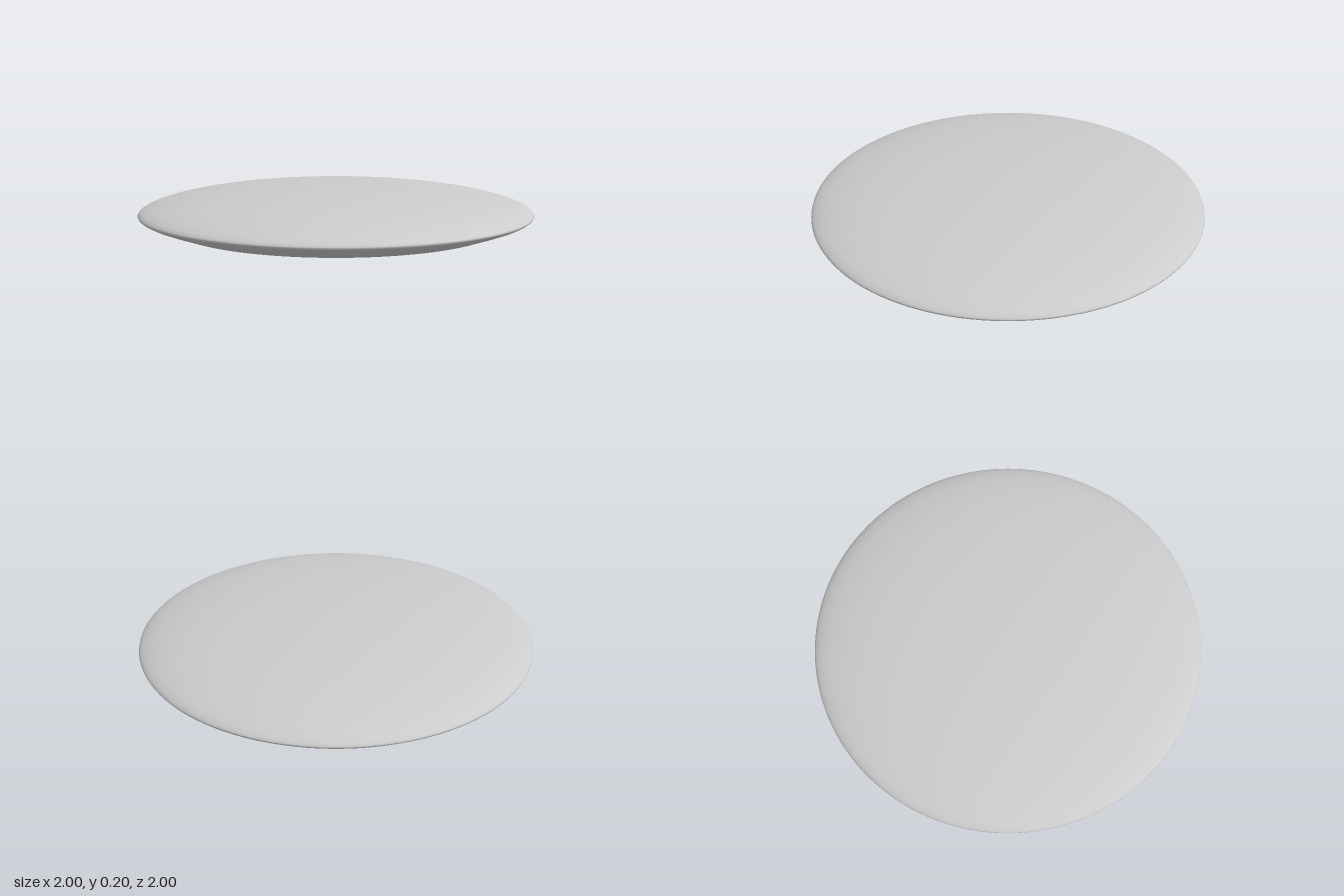
import * as THREE from 'three';

const material = new THREE.MeshStandardMaterial({ color: 0xcccccc, side: THREE.DoubleSide });
const RIM_Y = 0.075, RECESS_R = 0.83, SEGMENTS = 128;

function lathe(name, pairs) {
  const points = pairs.map(([r, y]) => new THREE.Vector2(r, y));
  const mesh = new THREE.Mesh(new THREE.LatheGeometry(points, SEGMENTS), material);
  mesh.name = name;
  return mesh;
}

// Flattened dome height above its base for a radius fraction 0..1
const dome = (t, height, power) => height * Math.pow(Math.max(0, 1 - t * t), power);

export function createModel() {
  const model = new THREE.Group();
  model.name = 'shallowDomedDisc';

  // Outer shell: bevelled underside, rounded rim and domed top in one smooth profile
  const outer = [[RECESS_R, 0], [0.88, 0.018], [0.93, 0.036], [0.965, 0.05], [0.988, 0.062], [0.997, 0.069]];
  for (let i = 0; i <= 32; i++) {
    const t = Math.cos((i / 32) * Math.PI / 2);
    outer.push([i === 32 ? 0 : t, RIM_Y + dome(t, 0.13, 0.58)]);
  }
  model.add(lathe('outerShell', outer));

  // Straight wall of the recess underneath
  const wallTop = 0.105;
  model.add(lathe('recessWall', [[RECESS_R, wallTop], [RECESS_R, 0]]));

  // Gently domed ceiling of the recess
  const ceiling = [];
  for (let i = 0; i <= 20; i++) {
    const t = i / 20;
    ceiling.push([t * RECESS_R, wallTop + dome(t, 0.06, 1)]);
  }
  model.add(lathe('recessCeiling', ceiling));

  return model;
}
